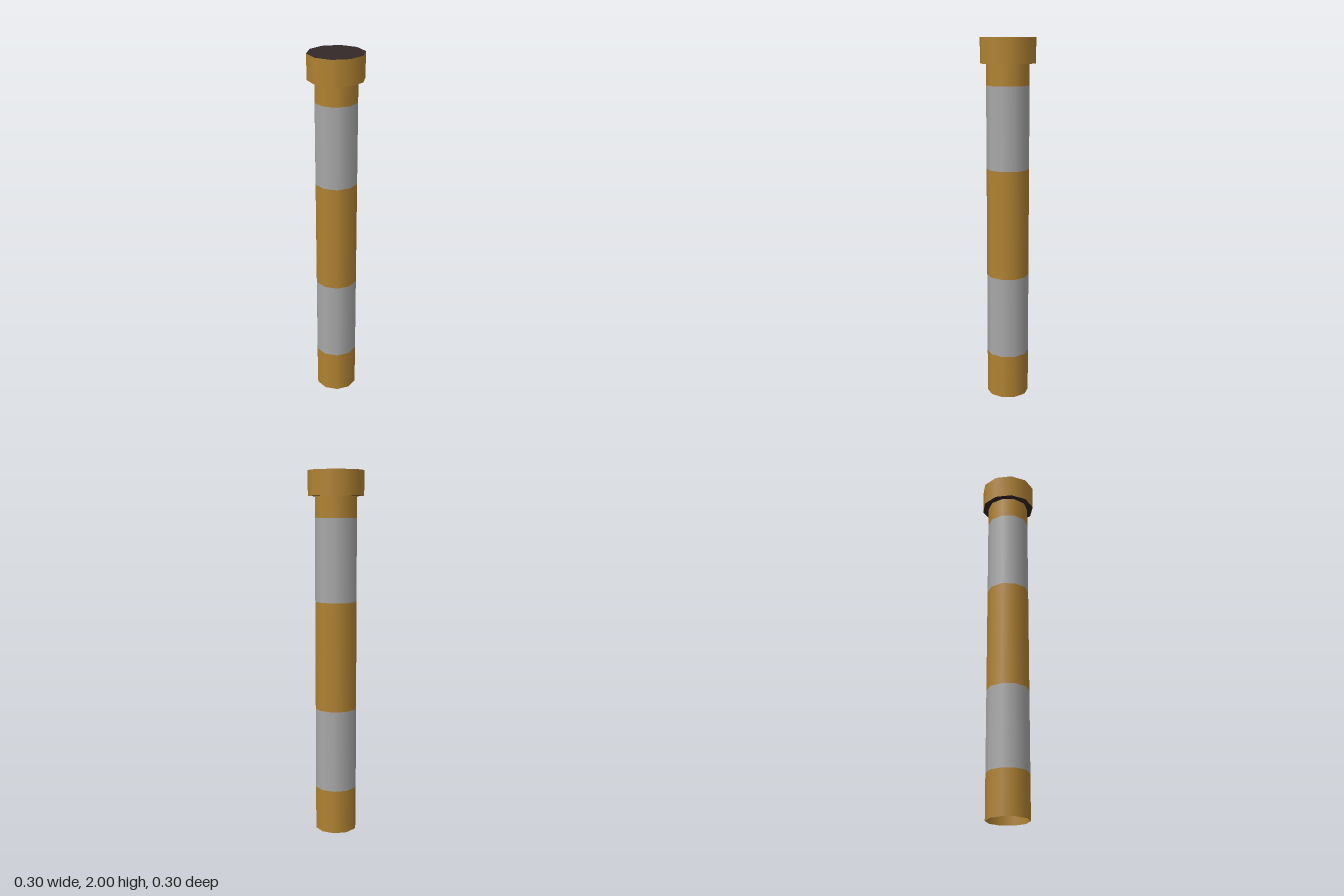
import * as THREE from 'three';

export function createModel() {
  const group = new THREE.Group();
  group.name = 'bandedPost';

  const makeMaterial = (name, color) => {
    const m = new THREE.MeshStandardMaterial({ color, side: THREE.DoubleSide });
    m.name = name;
    return m;
  };
  const ochre = makeMaterial('ochre', 0xb08232);
  const grey = makeMaterial('grey', 0xa8a8a8);
  const dark = makeMaterial('darkBrown', 0x332828);

  const SIDES = 10;

  // Hollow shaft, open at the foot, in alternating bands
  const levels = [0, 0.245, 0.7, 1.3, 1.75, 1.87];
  const names = ['footBand', 'lowerGreyBand', 'middleBand', 'upperGreyBand', 'neckBand'];
  names.forEach((name, i) => {
    const height = levels[i + 1] - levels[i];
    const geometry = new THREE.CylinderGeometry(0.116, 0.116, height, SIDES, 1, true, Math.PI / 2);
    const band = new THREE.Mesh(geometry, i % 2 ? grey : ochre);
    band.name = name;
    band.position.y = levels[i] + height / 2;
    group.add(band);
  });

  // Wider collar with dark top and underside, turned slightly from the shaft
  const collar = new THREE.Mesh(
    new THREE.CylinderGeometry(0.151, 0.151, 0.135, SIDES, 1, false, 0.11),
    [ochre, dark, dark]
  );
  collar.name = 'collar';
  collar.position.y = 2 - 0.135 / 2;
  group.add(collar);

  return group;
}
